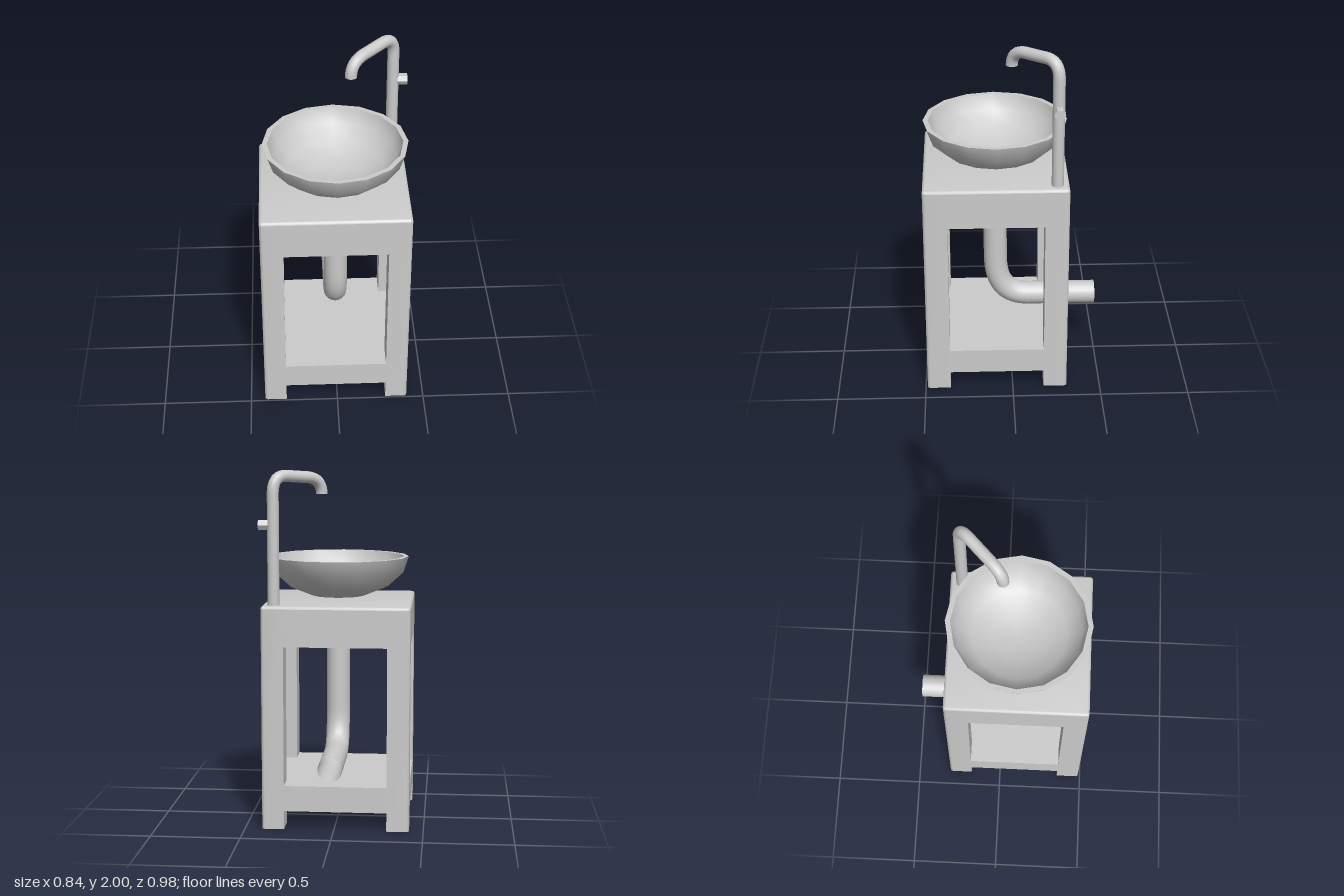
import * as THREE from 'three';
import { toCreasedNormals } from 'three/addons/utils/BufferGeometryUtils.js';

const material = new THREE.MeshStandardMaterial({ color: 0xcccccc, side: THREE.DoubleSide });

function part(name, geometry, parent) {
  const mesh = new THREE.Mesh(geometry, material);
  mesh.name = name;
  parent.add(mesh);
  return mesh;
}

// Skin a stack of closed rings, optionally closing the last one
function loft(rings, capTop) {
  const out = [];
  const n = rings[0].length;
  for (let j = 0; j < rings.length - 1; j++) {
    for (let i = 0; i < n; i++) {
      const k = (i + 1) % n;
      const a = rings[j][i], b = rings[j][k], c = rings[j + 1][i], d = rings[j + 1][k];
      out.push(...a, ...c, ...b, ...b, ...c, ...d);
    }
  }
  if (capTop) {
    const last = rings[rings.length - 1];
    for (let i = 0; i < n; i++) out.push(0, last[0][1], 0, ...last[(i + 1) % n], ...last[i]);
  }
  const g = new THREE.BufferGeometry();
  g.setAttribute('position', new THREE.Float32BufferAttribute(out, 3));
  return toCreasedNormals(g, 0.8);
}

// Stand dimensions: outer half sizes, inner half sizes, edge rounding
const HX = 0.412, HZ = 0.4, IX = 0.287, IZ = 0.267, R = 0.016;
const APRON_TOP = 1.26;
const quadrants = [[1, 1], [-1, 1], [-1, -1], [1, -1]];

// Rounded corner of the stand outline in quadrant k, moved inward by inset
function cornerArc(k, y, inset = 0) {
  const [sx, sz] = quadrants[k];
  const r = R - inset;
  return [0, 1, 2, 3].map((i) => {
    const a = (k + i / 3) * Math.PI / 2;
    return [sx * (HX - R) + r * Math.cos(a), y, sz * (HZ - R) + r * Math.sin(a)];
  });
}

function legRing(k, y) {
  const [sx, sz] = quadrants[k];
  const inner = [[sx * IX, y, sz * HZ], [sx * IX, y, sz * IZ], [sx * HX, y, sz * IZ]];
  if (k % 2) inner.reverse();
  return [...cornerArc(k, y), ...inner];
}

// Cross-shaped slab filling the space between the four legs
function crossSlab(y0, y1) {
  const pts = [
    [HX, -IZ], [HX, IZ], [IX, IZ], [IX, HZ], [-IX, HZ], [-IX, IZ],
    [-HX, IZ], [-HX, -IZ], [-IX, -IZ], [-IX, -HZ], [IX, -HZ], [IX, -IZ],
  ];
  const shape = new THREE.Shape(pts.map(([x, z]) => new THREE.Vector2(x, z)));
  const g = new THREE.ExtrudeGeometry(shape, { depth: y1 - y0, bevelEnabled: false });
  return g.rotateX(-Math.PI / 2).translate(0, y0, 0);
}

// Round tube: straight run, bend, straight run, bend ... (points alternate end, control, end)
function pipe(segments, radius, steps, sides) {
  const path = new THREE.CurvePath();
  for (const s of segments) {
    path.add(s.length === 2 ? new THREE.LineCurve3(...s) : new THREE.QuadraticBezierCurve3(...s));
  }
  return new THREE.TubeGeometry(path, steps, radius, sides, false);
}

export function createModel() {
  const model = new THREE.Group();
  model.name = 'washbasinStand';

  // Stand: hollow legs open at the bottom, shelf, apron and rounded top
  const stand = new THREE.Group();
  stand.name = 'stand';
  stand.position.set(-0.0075, 0, 0.09);
  model.add(stand);
  for (let k = 0; k < 4; k++) {
    part('leg', loft([legRing(k, 0), legRing(k, APRON_TOP - R)], false), stand);
  }
  part('shelf', crossSlab(0.105, 0.25), stand);
  part('apron', crossSlab(1.035, APRON_TOP - R), stand);
  const topRings = [0, 1, 2, 3].map((i) => {
    const a = i / 3 * Math.PI / 2;
    const y = APRON_TOP - R + R * Math.sin(a);
    return [0, 1, 2, 3].flatMap((k) => cornerArc(k, y, R * 0.98 * (1 - Math.cos(a))));
  });
  part('top', loft(topRings, true), stand);

  // Basin: 16-sided flattened half sphere with a flat rim
  const profile = [];
  const rimY = 1.505;
  for (let i = 0; i <= 4; i++) {
    const a = i * Math.PI / 8;
    profile.push(new THREE.Vector2(0.4 * Math.sin(a), rimY - 0.242 * Math.cos(a)));
  }
  for (let i = 4; i >= 0; i--) {
    const a = i * Math.PI / 8;
    profile.push(new THREE.Vector2(0.372 * Math.sin(a), rimY - 0.218 * Math.cos(a)));
  }
  const basin = part('basin', toCreasedNormals(new THREE.LatheGeometry(profile, 16), 0.75), model);
  basin.position.set(0.004, 0, 0.087);

  // Faucet: t runs from the stem to the spout end, diagonally over the basin
  const f = (t, y) => new THREE.Vector3(0.338 - 0.246 * t, y, -0.244 + 0.24 * t);
  part('faucet', pipe([
    [f(0, 1.255), f(0, 1.87)],
    [f(0, 1.87), f(0, 1.967), f(0.24, 1.967)],
    [f(0.24, 1.967), f(0.64, 1.957)],
    [f(0.64, 1.957), f(1, 1.955), f(1, 1.86)],
  ], 0.033, 60, 16), model);

  // Faucet handle
  const knob = new THREE.CylinderGeometry(0.031, 0.031, 0.055, 6);
  knob.rotateZ(Math.PI / 2);
  const handle = part('faucetHandle', toCreasedNormals(knob, 0.5), model);
  handle.position.set(0.391, 1.702, -0.246);

  // Drain pipe going down and out of the back
  const d = (y, z) => new THREE.Vector3(0.006, y, z);
  part('drainPipe', pipe([
    [d(1.2, 0.092), d(0.64, 0.088)],
    [d(0.64, 0.088), d(0.392, 0.088), d(0.392, -0.1)],
    [d(0.392, -0.1), d(0.392, -0.49)],
  ], 0.067, 40, 20), model);

  return model;
}
